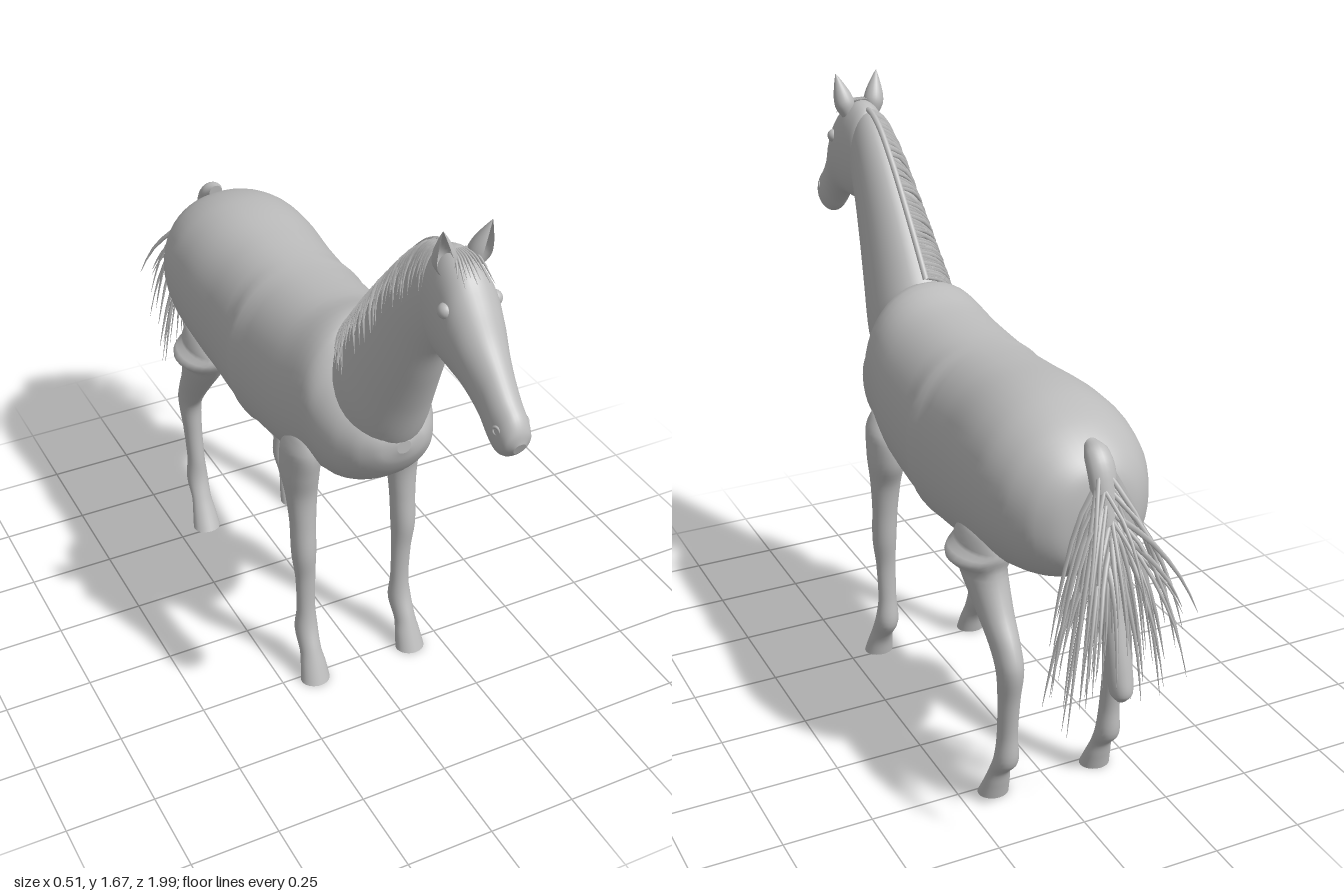
import * as THREE from 'three';
import { mergeGeometries } from 'three/addons/utils/BufferGeometryUtils.js';

const V = (x, y, z) => new THREE.Vector3(x, y, z);

// Smooth cross-sections: [zA, yA, zB, yB, halfWidth, centreX]; an oval spans A to B.
function sectionSurface(rows, power = 2, side = 1) {
  const spline = (f) => new THREE.CatmullRomCurve3(rows.map(f));
  const a = spline((r) => V(0, r[1], r[0]));
  const b = spline((r) => V(0, r[3], r[2]));
  const w = spline((r) => V((r[5] || 0) * side, r[4], 0));
  const round = (v) => Math.sign(v) * Math.abs(v) ** (2 / power);
  return (t, angle, scale = 1) => {
    const pa = a.getPoint(t), pb = b.getPoint(t), pw = w.getPoint(t);
    const p = pa.clone().add(pb).multiplyScalar(0.5);
    p.addScaledVector(pa.sub(pb), 0.5 * scale * round(Math.cos(angle)));
    p.x = pw.x + Math.max(pw.y, 0.002) * scale * round(Math.sin(angle));
    return p;
  };
}

// Closed skin over a section surface, with crisp end caps.
function loft(surface, steps, sides = 32) {
  const pos = [], idx = [];
  const ring = (t, s) => {
    const start = pos.length / 3;
    for (let j = 0; j < sides; j++) pos.push(...surface(t, (j / sides) * Math.PI * 2, s).toArray());
    return start;
  };
  for (let i = 0; i <= steps; i++) ring(i / steps, 1);
  for (let i = 0; i < steps; i++) {
    for (let j = 0; j < sides; j++) {
      const k = (j + 1) % sides, p = i * sides, q = p + sides;
      idx.push(p + j, q + j, p + k, p + k, q + j, q + k);
    }
  }
  for (const t of [0, 1]) {
    const start = ring(t, 1), mid = pos.length / 3;
    pos.push(...surface(t, 0, 0).toArray());
    for (let j = 0; j < sides; j++) {
      const k = (j + 1) % sides;
      idx.push(mid, start + (t ? k : j), start + (t ? j : k));
    }
  }
  // Turn the skin outward if its enclosed volume is negative.
  const at = (i) => V(pos[i * 3], pos[i * 3 + 1], pos[i * 3 + 2]);
  const origin = at(0);
  let volume = 0;
  for (let i = 0; i < idx.length; i += 3) {
    const [p, q, r] = [0, 1, 2].map((n) => at(idx[i + n]).sub(origin));
    volume += p.dot(q.cross(r));
  }
  if (volume < 0) idx.reverse();
  const g = new THREE.BufferGeometry();
  g.setAttribute('position', new THREE.Float32BufferAttribute(pos, 3));
  g.setIndex(idx);
  g.computeVertexNormals();
  return g;
}

// Hair: a thin tube narrowing to its tip.
function strand(points, radius, steps = 7) {
  const curve = new THREE.CatmullRomCurve3(points), sides = 4;
  const g = new THREE.TubeGeometry(curve, steps, radius, sides);
  const p = g.attributes.position, v = V(0, 0, 0);
  for (let i = 0; i < p.count; i++) {
    const t = Math.floor(i / (sides + 1)) / steps;
    v.fromBufferAttribute(p, i).lerp(curve.getPointAt(t), t ** 2 * 0.95);
    p.setXYZ(i, v.x, v.y, v.z);
  }
  return g;
}

export function createModel() {
  const group = new THREE.Group();
  const coat = new THREE.MeshStandardMaterial({ color: 0xbcbcbc, side: THREE.DoubleSide });
  coat.name = 'grey coat';
  const add = (name, geometry) => {
    const mesh = new THREE.Mesh(geometry, coat);
    mesh.name = name;
    group.add(mesh);
    return mesh;
  };
  let seed = 7;
  const rand = (lo, hi) => {
    seed = (seed * 16807) % 2147483647;
    return lo + (hi - lo) * (seed / 2147483647);
  };

  // Barrel, chest and rump: z, top, bottom, half width
  const body = [
    [0.474, 0.925, 0.885, 0.02], [0.46, 0.95, 0.845, 0.07], [0.42, 0.98, 0.785, 0.115],
    [0.36, 1.02, 0.735, 0.15], [0.3, 1.09, 0.7, 0.172], [0.244, 1.18, 0.68, 0.187],
    [0.1, 1.155, 0.64, 0.21], [-0.1, 1.142, 0.606, 0.216], [-0.2, 1.144, 0.603, 0.216],
    [-0.3, 1.15, 0.618, 0.217], [-0.45, 1.158, 0.65, 0.227], [-0.55, 1.15, 0.672, 0.226],
    [-0.65, 1.12, 0.7, 0.205], [-0.72, 1.075, 0.735, 0.165], [-0.758, 1.03, 0.775, 0.115],
    [-0.775, 0.96, 0.84, 0.05],
  ].map(([z, top, low, w]) => [z, top, z, low, w]);
  add('body', loft(sectionSurface(body, 2.15), 75, 48));

  // Neck, crest edge to throat edge
  const neck = sectionSurface([
    [0.21, 1.15, 0.43, 0.86, 0.122], [0.245, 1.19, 0.474, 0.92, 0.12],
    [0.31, 1.275, 0.53, 1.05, 0.106], [0.4, 1.385, 0.58, 1.165, 0.09],
    [0.51, 1.505, 0.628, 1.275, 0.075], [0.6, 1.572, 0.67, 1.33, 0.062],
    [0.66, 1.575, 0.7, 1.36, 0.05],
  ]);
  add('neck', loft(neck, 36, 36));

  // Head, forehead line to jaw line
  const head = sectionSurface([
    [0.605, 1.54, 0.615, 1.39, 0.04], [0.635, 1.583, 0.632, 1.315, 0.062],
    [0.69, 1.597, 0.69, 1.298, 0.073], [0.757, 1.566, 0.757, 1.295, 0.076],
    [0.805, 1.51, 0.8, 1.287, 0.069], [0.853, 1.443, 0.838, 1.267, 0.057],
    [0.9, 1.388, 0.875, 1.237, 0.048], [0.945, 1.338, 0.905, 1.206, 0.045],
    [0.98, 1.307, 0.935, 1.19, 0.043], [0.996, 1.278, 0.965, 1.198, 0.036],
    [1.0, 1.25, 0.987, 1.218, 0.016],
  ], 2.1);
  add('head', loft(head, 50, 36));

  // Legs: front edge z, y, back edge z, y, half width, centre x
  const frontLeg = [
    [0.225, 0.838, 0.19, 0.838, 0.012, 0.15], [0.25, 0.82, 0.155, 0.815, 0.034, 0.151],
    [0.264, 0.775, 0.11, 0.765, 0.05, 0.157], [0.252, 0.7, 0.108, 0.69, 0.051, 0.158],
    [0.234, 0.62, 0.142, 0.61, 0.044, 0.157], [0.234, 0.52, 0.158, 0.52, 0.037, 0.157],
    [0.24, 0.42, 0.165, 0.42, 0.035, 0.158], [0.23, 0.33, 0.178, 0.33, 0.029, 0.154],
    [0.228, 0.22, 0.178, 0.22, 0.027, 0.152], [0.238, 0.16, 0.171, 0.13, 0.033, 0.153],
    [0.264, 0.1, 0.207, 0.075, 0.031, 0.155], [0.286, 0.05, 0.222, 0.045, 0.037, 0.155],
    [0.308, 0, 0.232, 0, 0.043, 0.156],
  ];
  const hindLeg = [
    [-0.45, 0.8, -0.5, 0.795, 0.012, 0.16], [-0.385, 0.782, -0.545, 0.78, 0.04, 0.164],
    [-0.345, 0.73, -0.562, 0.735, 0.059, 0.165], [-0.378, 0.67, -0.552, 0.685, 0.059, 0.165],
    [-0.47, 0.563, -0.587, 0.588, 0.047, 0.161], [-0.535, 0.485, -0.638, 0.505, 0.038, 0.158],
    [-0.57, 0.43, -0.658, 0.445, 0.035, 0.157], [-0.575, 0.34, -0.64, 0.34, 0.029, 0.155],
    [-0.567, 0.23, -0.627, 0.23, 0.027, 0.153], [-0.56, 0.16, -0.625, 0.14, 0.033, 0.153],
    [-0.538, 0.1, -0.583, 0.09, 0.031, 0.155], [-0.513, 0.05, -0.57, 0.045, 0.037, 0.155],
    [-0.485, 0, -0.56, 0, 0.043, 0.156],
  ];

  // Ear: cupped shell open at the front
  const earProfile = [[0.018, 0], [0.029, 0.03], [0.026, 0.06], [0.014, 0.095], [0.001, 0.125]];
  const earShape = new THREE.LatheGeometry(
    new THREE.SplineCurve(earProfile.map(([r, y]) => new THREE.Vector2(r, y))).getPoints(14),
    20, 0.75, Math.PI * 2 - 1.5);

  for (const [side, label] of [[1, 'left'], [-1, 'right']]) {
    add(label + 'FrontLeg', loft(sectionSurface(frontLeg, 2, side), 60, 24));
    add(label + 'HindLeg', loft(sectionSurface(hindLeg, 2, side), 60, 24));
    const ear = add(label + 'Ear', earShape);
    ear.position.set(0.038 * side, 1.553, 0.7);
    ear.rotation.set(0.3, 0.35 * side, -0.22 * side);
    const eye = add(label + 'Eye', new THREE.SphereGeometry(0.02, 20, 14));
    eye.position.set(0.064 * side, 1.483, 0.752);
    const nostril = add(label + 'Nostril', new THREE.TorusGeometry(0.01, 0.004, 8, 18));
    nostril.position.set(0.04 * side, 1.272, 0.955);
    nostril.rotation.y = 1.25 * side;
  }

  // Mane: crest ridge and locks lying over the right side of the neck
  const crest = [0.15, 0.3, 0.45, 0.6, 0.75, 0.88, 1].map((t) => neck(t, 0, 1.02));
  add('maneCrest', new THREE.TubeGeometry(new THREE.CatmullRomCurve3(crest), 30, 0.009, 8));
  const locks = [];
  for (let i = 0; i < 64; i++) {
    const t = 0.17 + (0.75 * i) / 63, reach = rand(0.85, 1.5), drop = rand(0.02, 0.07);
    locks.push(strand([0, 0.35, 0.7, 1].map((s) =>
      neck(t - drop * s, -reach * s, 1.02 + 0.04 * s)), rand(0.005, 0.008)));
  }
  add('mane', mergeGeometries(locks));

  // Forelock over the brow
  const fringe = [];
  for (let i = 0; i < 9; i++) {
    const x = (i - 4) * 0.009, z = rand(0.76, 0.79);
    const y = 1.566 - (z - 0.757) * 1.16;
    fringe.push(strand([V(x * 0.5, 1.595, 0.69), V(x * 0.8, 1.592, 0.73), V(x * 1.2, y + 0.008, z)], 0.005));
  }
  add('forelock', mergeGeometries(fringe));

  // Tail core, rounded at its lower end
  const core = [
    [-0.715, 1.105, -0.72, 1.06, 0.02], [-0.755, 1.1, -0.735, 1.045, 0.033],
    [-0.79, 1.065, -0.75, 1.02, 0.036], [-0.82, 0.97, -0.768, 0.95, 0.032],
    [-0.85, 0.84, -0.795, 0.83, 0.03], [-0.885, 0.7, -0.825, 0.69, 0.031],
    [-0.925, 0.56, -0.86, 0.55, 0.032], [-0.935, 0.5, -0.872, 0.495, 0.028],
    [-0.918, 0.477, -0.893, 0.475, 0.012],
  ];
  add('tailCore', loft(sectionSurface(core), 40, 20));

  // Tail hair fanning out and down
  const hair = [];
  for (let i = 0; i < 80; i++) {
    const x = rand(-0.18, 0.18), back = rand(-0.99, -0.79), low = rand(0.42, 0.7) + (back < -0.93 ? 0.12 : 0);
    const top = rand(0.86, 1.07), z0 = -0.775 - (1.05 - top) * 0.2;
    hair.push(strand([
      V(rand(-0.02, 0.02), top, z0),
      V(x * 0.45, top - (top - low) * 0.28, z0 + (back - z0) * 0.5),
      V(x * 0.8, top - (top - low) * 0.65, z0 + (back - z0) * 0.85),
      V(x, low, back),
    ], rand(0.006, 0.01)));
  }
  add('tailHair', mergeGeometries(hair));
  return group;
}
